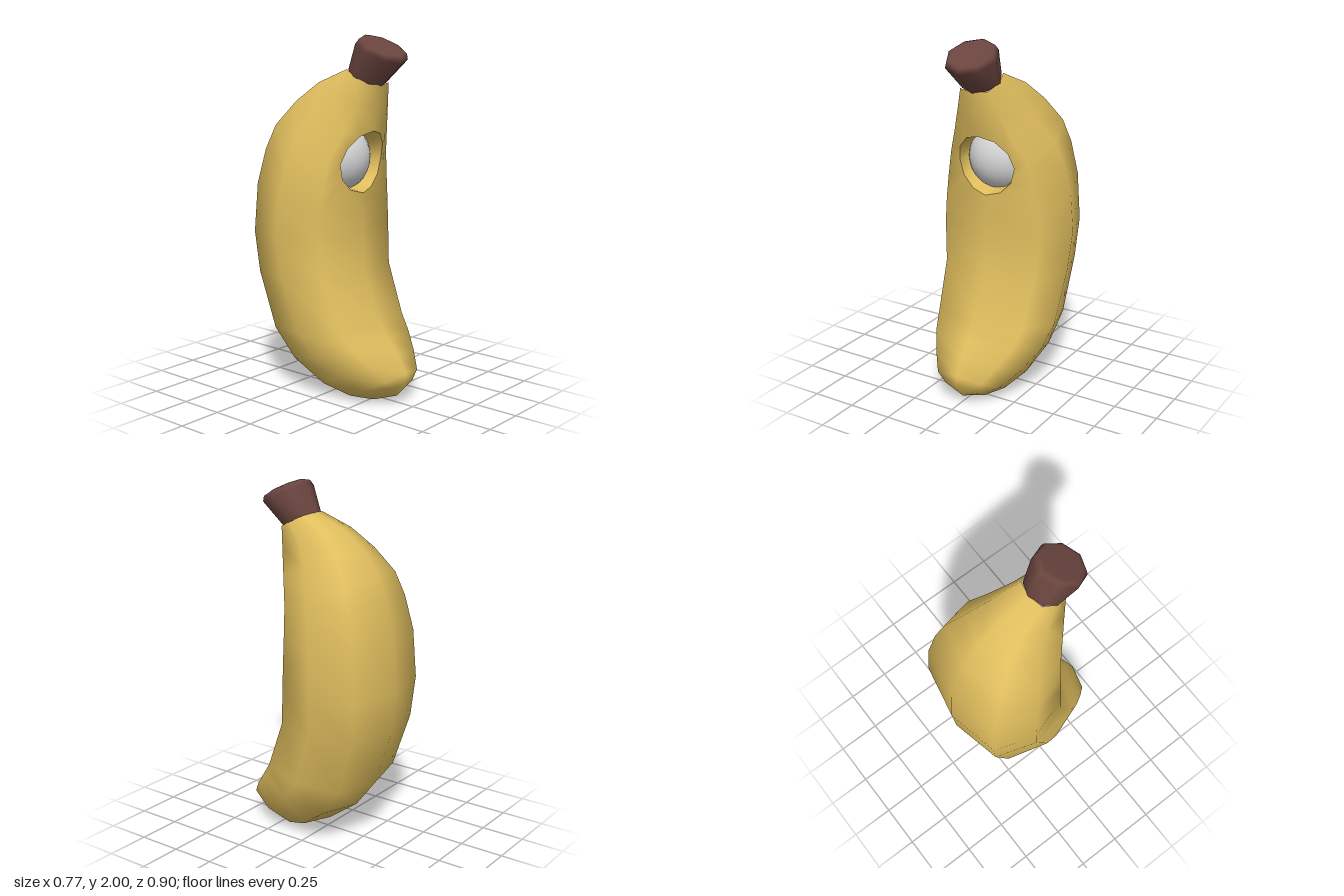
import * as THREE from 'three';

const SIDES = 8;

// Each ring: [front z, front y, back z, back y, half width], listed from the top down.
const BODY = [
  [0.27, 1.74, 0.08, 1.83, 0.108],
  [0.25, 1.62, -0.10, 1.76, 0.16],
  [0.215, 1.48, -0.23, 1.66, 0.225],
  [0.165, 1.33, -0.33, 1.53, 0.305],
  [0.15, 1.18, -0.38, 1.40, 0.345],
  [0.145, 1.05, -0.43, 1.20, 0.372],
  [0.145, 0.93, -0.45, 0.91, 0.385],
  [0.165, 0.70, -0.43, 0.68, 0.365],
  [0.275, 0.43, -0.33, 0.36, 0.345],
  [0.335, 0.35, -0.20, 0.19, 0.315],
  [0.40, 0.27, -0.02, 0.06, 0.25],
  [0.455, 0.18, 0.14, 0.01, 0.18],
  [0.455, 0.13, 0.27, 0.003, 0.10],
  [0.39, 0.04, 0.39, 0.04, 0],
];
const STEM = [
  [0.28, 1.945, 0.28, 1.945, 0],
  [0.385, 1.895, 0.18, 2.0, 0.115],
  [0.40, 1.885, 0.155, 2.0, 0.135],
  [0.405, 1.855, 0.13, 1.975, 0.145],
  [0.27, 1.735, 0.075, 1.83, 0.112],
];

// Opening in the front, spanning body rings 1 to 5
const HOLE = { y: 1.32, r: 0.172, top: 1, bottom: 5, count: 12 };

function makeGeometry(points, index) {
  const geo = new THREE.BufferGeometry();
  geo.setAttribute('position', new THREE.Float32BufferAttribute(points, 3));
  geo.setIndex(index);
  geo.computeVertexNormals();
  return geo;
}

// Points of all rings; diag sets how square the octagon is
function ringPoints(rings, diag) {
  const points = [];
  const factor = (v) => (Math.abs(v) > 0.9 ? Math.sign(v) : Math.abs(v) < 0.1 ? 0 : Math.sign(v) * diag);
  for (const [fz, fy, bz, by, w] of rings) {
    for (let j = 0; j < SIDES; j++) {
      const a = (j / SIDES) * Math.PI * 2;
      const d = factor(Math.cos(a));
      points.push(w * factor(Math.sin(a)), (fy + by) / 2 + (d * (fy - by)) / 2, (fz + bz) / 2 + (d * (fz - bz)) / 2);
    }
  }
  return points;
}

function quad(index, a, b, c, d) {
  index.push(a, b, c, a, c, d);
}

function loftIndex(count, skip = () => false) {
  const index = [];
  for (let i = 0; i < count - 1; i++) {
    for (let j = 0; j < SIDES; j++) {
      if (skip(i, j)) continue;
      const n = (j + 1) % SIDES;
      quad(index, i * SIDES + j, (i + 1) * SIDES + j, (i + 1) * SIDES + n, i * SIDES + n);
    }
  }
  return index;
}

// Depth of the front surface at height y
function frontZ(y) {
  const i = BODY.findIndex((r) => r[1] <= y);
  const [a, b] = [BODY[i - 1], BODY[i]];
  return THREE.MathUtils.lerp(b[0], a[0], (y - b[1]) / (a[1] - b[1]));
}

// Point k of a circle, clockwise from the top
function circlePoint(k, r, cy) {
  const a = (k / HOLE.count) * Math.PI * 2;
  return [r * Math.sin(a), cy + r * Math.cos(a)];
}

function rimPoints() {
  const points = [];
  for (let k = 0; k < HOLE.count; k++) {
    const [x, y] = circlePoint(k, HOLE.r, HOLE.y);
    points.push(x, y, frontZ(y) - 0.2 * Math.abs(x));
  }
  return points;
}

function bodyGeometry() {
  const points = ringPoints(BODY, 0.79);
  const { top, bottom, count } = HOLE;
  const index = loftIndex(BODY.length, (i, j) => i >= top && i < bottom && (j === 0 || j === SIDES - 1));
  // Border of the open patch, clockwise from the top, joined to the round rim
  const border = [top * SIDES];
  for (let i = top; i <= bottom; i++) border.push(i * SIDES + 1);
  border.push(bottom * SIDES);
  for (let i = bottom; i >= top; i--) border.push(i * SIDES + SIDES - 1);
  const start = points.length / 3;
  points.push(...rimPoints());
  for (let k = 0; k < count; k++) {
    const n = (k + 1) % count;
    quad(index, border[k], start + k, start + n, border[n]);
  }
  return makeGeometry(points, index);
}

// Wall of the opening, narrowing inwards
function rimGeometry() {
  const { count } = HOLE;
  const points = rimPoints();
  const index = [];
  for (let k = 0; k < count; k++) points.push(...circlePoint(k, 0.16, 1.329), 0.05);
  for (let k = 0; k < count; k++) {
    const n = (k + 1) % count;
    quad(index, k, count + k, count + n, n);
  }
  return makeGeometry(points, index);
}

export function createModel() {
  const peel = new THREE.MeshStandardMaterial({ color: 0xe0be5e });
  const brown = new THREE.MeshStandardMaterial({ color: 0x6b453f });
  const white = new THREE.MeshStandardMaterial({ color: 0xd6d6d6 });
  peel.name = 'peelYellow';
  brown.name = 'stemBrown';
  white.name = 'ballWhite';

  const group = new THREE.Group();
  group.name = 'banana';
  const add = (name, geo, mat) => {
    const mesh = new THREE.Mesh(geo, mat);
    mesh.name = name;
    group.add(mesh);
    return mesh;
  };

  add('body', bodyGeometry(), peel);
  add('openingRim', rimGeometry(), peel);
  add('stem', makeGeometry(ringPoints(STEM, 0.7), loftIndex(STEM.length)), brown);
  // Ball seated behind the opening
  add('innerBall', new THREE.SphereGeometry(0.2, 24, 16), white).position.set(0, 1.33, -0.06);
  return group;
}
